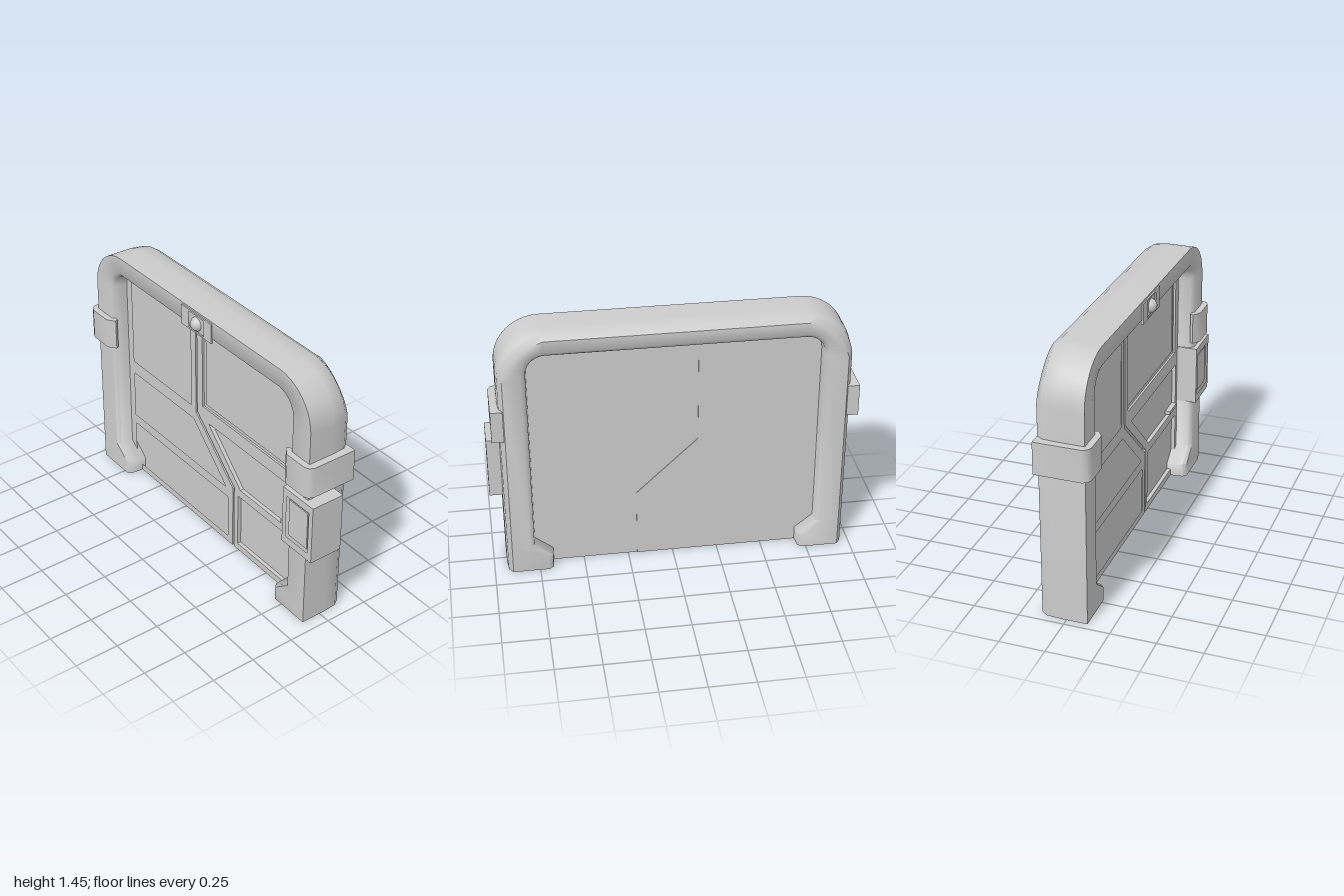
import * as THREE from 'three';
import { toCreasedNormals } from 'three/addons/utils/BufferGeometryUtils.js';

const ZC = -0.015; // middle of the doorway along z

export function createModel() {
  const group = new THREE.Group();
  group.name = 'slidingDoor';
  const grey = new THREE.MeshStandardMaterial({ color: 0xcccccc });
  grey.name = 'grey metal';

  function add(name, geometry, x = 0, y = 0, z = 0) {
    const mesh = new THREE.Mesh(geometry, grey);
    mesh.name = name;
    mesh.position.set(x, y, z);
    group.add(mesh);
    return mesh;
  }

  // Flat plate from [z, y] points, running from x0 to x1, with optional holes
  function plate(name, points, x0, x1, holes = []) {
    const toV = (list) => list.map(([z, y]) => new THREE.Vector2(-z, y));
    const shape = new THREE.Shape(toV(points));
    holes.forEach((h) => shape.holes.push(new THREE.Path(toV(h))));
    const geo = new THREE.ExtrudeGeometry(shape, { depth: x1 - x0, bevelEnabled: false });
    geo.rotateY(Math.PI / 2);
    return add(name, geo, x0);
  }
  const rect = (z0, y0, z1, y1) => [[z0, y0], [z1, y0], [z1, y1], [z0, y1]];

  add('doorFrame', frameGeometry());

  // Two interlocking door leaves: plain slab in front, recessed fields behind
  const rearLeaf = (g) => [
    [-0.81, 0], [0.2 - g, 0], [0.2 - g, 0.4 - g], [-0.14 - g, 0.72 - g], [-0.14 - g, 1.34], [-0.81, 1.34],
  ];
  const frontLeaf = (g) => [
    [0.78, 0], [0.2 + g, 0], [0.2 + g, 0.4 + g], [-0.14 + g, 0.72 + g], [-0.14 + g, 1.34], [0.78, 1.34],
  ];
  plate('rearLeafSlab', rearLeaf(0), 0, 0.06);
  plate('frontLeafSlab', frontLeaf(0), 0, 0.056);
  plate('rearLeafRelief', rearLeaf(0.006), -0.022, 0, [
    rect(-0.75, 0.74, -0.19, 1.28),
    [[-0.75, 0.37], [0.13, 0.37], [-0.17, 0.66], [-0.75, 0.66]],
    rect(-0.75, 0.04, 0.15, 0.31),
  ]);
  plate('frontLeafRelief', frontLeaf(0.006), -0.022, 0, [
    rect(-0.085, 0.785, 0.72, 1.3),
    [[0.26, 0.42], [0.74, 0.42], [0.74, 0.7], [-0.03, 0.7]],
    rect(0.24, 0.04, 0.74, 0.37),
  ]);
  plate('windowRim', rect(-0.085, 0.785, 0.72, 1.3), -0.01, 0, [rect(-0.065, 0.805, 0.7, 1.28)]);
  plate('doorHandle', rect(0.62, 0.43, 0.74, 0.45), -0.03, 0);

  // Sensor above the door
  plate('sensorPlate', rect(-0.13, 1.325, 0.13, 1.44), -0.123, -0.11, [rect(-0.065, 1.335, 0.065, 1.43)]);
  plate('sensorBack', rect(-0.065, 1.335, 0.065, 1.43), -0.118, -0.11);
  add('sensorBall', new THREE.SphereGeometry(0.04, 20, 14), -0.112, 1.38, 0);

  // Clamps around both posts
  const clampProfile = [
    [0.145, 0.985], [0.145, 0.92], [-0.1, 0.92], [-0.1, 0.775], [-0.118, 0.765],
    [-0.15, 0.81], [-0.15, 0.945], [-0.138, 0.972], [-0.112, 0.985],
  ];
  for (const side of [1, -1]) {
    const shape = new THREE.Shape(clampProfile.map(([x, h]) => new THREE.Vector2(x, side * h + ZC)));
    const geo = new THREE.ExtrudeGeometry(shape, { depth: 0.18, bevelEnabled: false });
    geo.rotateX(Math.PI / 2);
    add(side > 0 ? 'frontClamp' : 'rearClamp', toCreasedNormals(geo, 0.7), 0, 1.025);
  }

  // Control box on the front post
  plate('controlBox', rect(0.765, 0.46, 1, 0.805), -0.128, 0.055);
  plate('controlBoxRim', rect(0.765, 0.46, 1, 0.805), -0.14, -0.128, [rect(0.795, 0.505, 0.97, 0.76)]);
  plate('controlScreen', rect(0.81, 0.52, 0.955, 0.745), -0.134, -0.128);

  return group;
}

// Upside-down U of points: half width, top height, corner radius, half width at the feet
function arch(half, top, r, foot, bulge) {
  const steps = 10;
  const sidePoints = [[foot, 0], [foot, 0.08], [half, 0.16]];
  for (let i = 0; i <= steps; i++) {
    const a = (i / steps) * Math.PI / 2;
    const rr = r - bulge * Math.sin(2 * a);
    sidePoints.push([half - r + rr * Math.cos(a), top - r + rr * Math.sin(a)]);
  }
  const mirrored = sidePoints.map(([z, y]) => [-z, y]).reverse();
  return [...sidePoints, ...mirrored];
}

// Frame: a closed profile swept along the arch, with flat feet
function frameGeometry() {
  const outer = (x, d) => [x, arch(0.945 - d, 1.45 - d, 0.25 - d, 0.945 - d, d)];
  const inner = (x, d) => [x, arch(0.785 + d, 1.325 + d, 0.1 + d, 0.685 + d, 0)];
  const rings = [
    outer(-0.115, 0), outer(0.03, 0), outer(0.11, 0.006), outer(0.145, 0.03),
    inner(0.145, 0.03), inner(0.125, 0.006), inner(0.06, 0),
    inner(-0.05, 0), inner(-0.095, 0.006), inner(-0.115, 0.025),
  ];
  const count = rings.length;
  const length = rings[0][1].length;
  const positions = [];
  for (let i = 0; i < length; i++) {
    for (const [x, path] of rings) positions.push(x, path[i][1], path[i][0] + ZC);
  }
  const index = [];
  for (let i = 0; i < length - 1; i++) {
    for (let j = 0; j < count; j++) {
      const k = (j + 1) % count;
      const a = i * count + j, b = (i + 1) * count + j;
      const c = i * count + k, d = (i + 1) * count + k;
      index.push(a, c, b, c, d, b);
    }
  }
  const last = (length - 1) * count;
  for (let j = 1; j < count - 1; j++) {
    index.push(0, j + 1, j);
    index.push(last, last + j, last + j + 1);
  }
  const geo = new THREE.BufferGeometry();
  geo.setAttribute('position', new THREE.Float32BufferAttribute(positions, 3));
  geo.setIndex(index);
  return toCreasedNormals(geo, 0.95);
}
